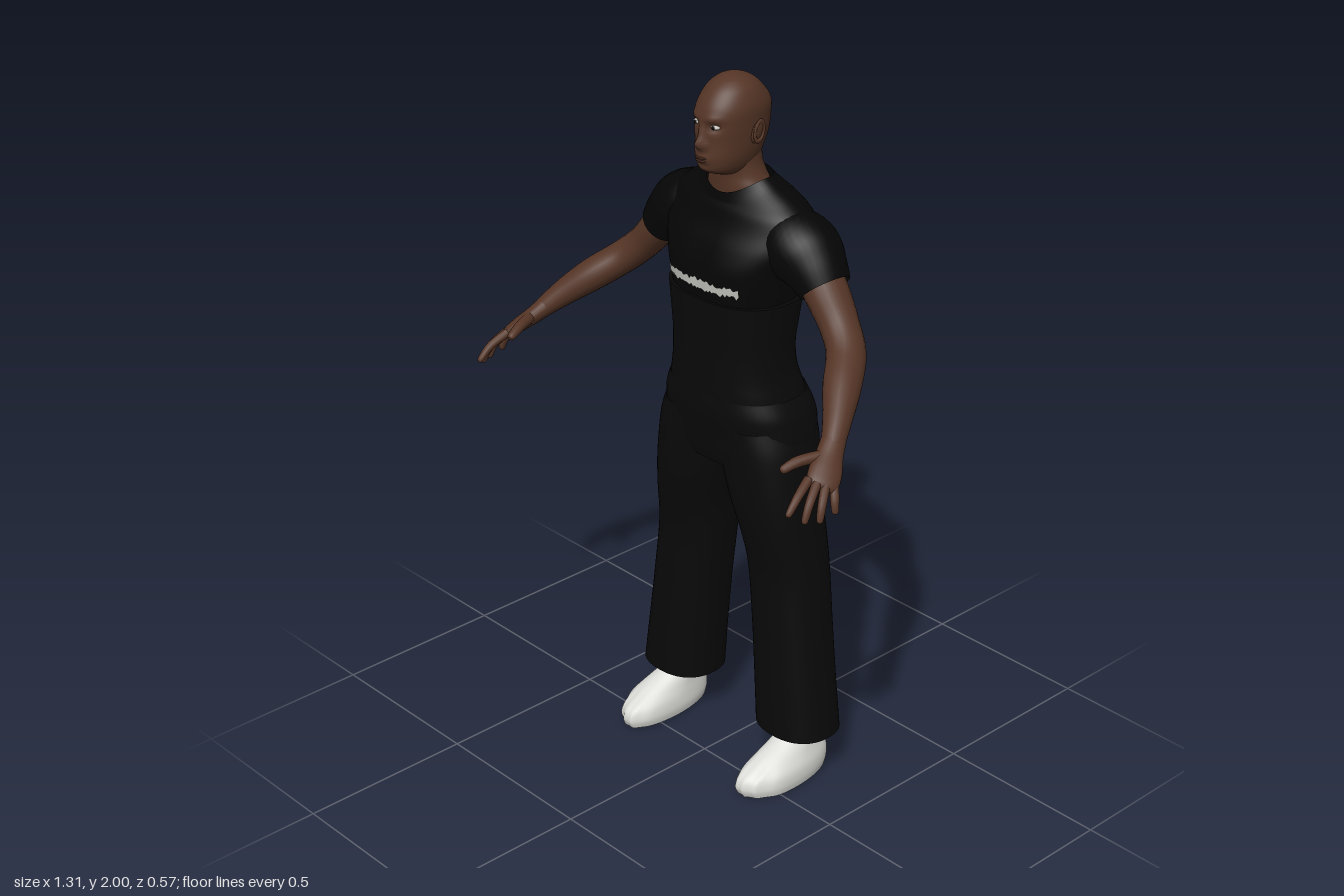
import * as THREE from 'three';

const mat = (name, color, side = THREE.FrontSide) => {
  const m = new THREE.MeshStandardMaterial({ color, side });
  m.name = name;
  return m;
};

// Smoothly interpolate rows of numbers
function smoothRows(keys, sub) {
  const out = [], last = keys.length - 1;
  const at = i => keys[Math.max(0, Math.min(last, i))];
  for (let s = 0; s <= last * sub; s++) {
    const i = Math.min(last - 1, Math.floor(s / sub)), t = s / sub - i;
    out.push(at(i).map((b, k) => {
      const a = at(i - 1)[k], c = at(i + 1)[k], d = at(i + 2)[k];
      return 0.5 * (2 * b + (c - a) * t + (2 * a - 5 * b + 4 * c - d) * t * t + (3 * b - a - 3 * c + d) * t ** 3);
    }));
  }
  return out;
}

// Join closed rings of points into one surface, with optional flat end caps
function skinRings(rings, capStart, capEnd) {
  const n = rings[0].length, pos = [], idx = [];
  rings.forEach(r => r.forEach(p => pos.push(p.x, p.y, p.z)));
  for (let r = 0; r < rings.length - 1; r++) for (let i = 0; i < n; i++) {
    const a = r * n + i, b = r * n + (i + 1) % n, d = a + n, c = b + n;
    idx.push(a, d, b, b, d, c);
  }
  const cap = (ring, flip) => {
    const base = pos.length / 3, mid = new THREE.Vector3();
    ring.forEach(p => { pos.push(p.x, p.y, p.z); mid.addScaledVector(p, 1 / n); });
    pos.push(mid.x, mid.y, mid.z);
    for (let i = 0; i < n; i++) {
      const a = base + i, b = base + (i + 1) % n;
      idx.push(...(flip ? [a, b, base + n] : [b, a, base + n]));
    }
  };
  if (capStart) cap(rings[0], true);
  if (capEnd) cap(rings[rings.length - 1], false);
  const g = new THREE.BufferGeometry();
  g.setAttribute('position', new THREE.Float32BufferAttribute(pos, 3));
  g.setIndex(idx);
  g.computeVertexNormals();
  return g;
}

// Stacked superellipses, bottom to top: [y, centreX, halfWidth, zBack, zFront, power]
function stack(keys, { sub = 6, seg = 48, bottom = false, top = false, shape } = {}) {
  return skinRings(smoothRows(keys, sub).map(([y, cx, rx, zb, zf, n]) =>
    Array.from({ length: seg }, (_, i) => {
      const a = i / seg * Math.PI * 2, c = Math.cos(a), s = Math.sin(a);
      const e = v => Math.sign(v) * Math.abs(v) ** (2 / n);
      const p = new THREE.Vector3(cx + rx * e(c), y, (zb + zf) / 2 + (zf - zb) / 2 * e(s));
      if (shape) shape(p, c, s);
      return p;
    })), bottom, top);
}

// Tapered limb along a path: [x, y, z, radiusAcross, radiusThick]
const ACROSS = new THREE.Vector3(-0.045, 0.015, 0.065).normalize();
function limb(keys, { sub = 5, seg = 20, ends = true } = {}) {
  const rows = smoothRows(keys, sub), P = rows.map(r => new THREE.Vector3(r[0], r[1], r[2]));
  return skinRings(rows.map((r, i) => {
    const t = P[Math.min(i + 1, P.length - 1)].clone().sub(P[Math.max(i - 1, 0)]).normalize();
    const u = ACROSS.clone().addScaledVector(t, -ACROSS.dot(t)).normalize();
    const v = u.clone().cross(t);
    return Array.from({ length: seg }, (_, k) => {
      const a = k / seg * Math.PI * 2;
      return P[i].clone().addScaledVector(u, r[3] * Math.cos(a)).addScaledVector(v, r[4] * Math.sin(a));
    });
  }), ends, ends);
}

function mirrored(geo) {
  const g = geo.clone().scale(-1, 1, 1), ix = g.index.array;
  for (let i = 0; i < ix.length; i += 3) [ix[i], ix[i + 1]] = [ix[i + 1], ix[i]];
  g.computeVertexNormals();
  return g;
}

const bump = (x, y, cx, cy, sx, sy) => Math.exp(-(((x - cx) / sx) ** 2) - ((y - cy) / sy) ** 2);

export function createModel() {
  const model = new THREE.Group();
  model.name = 'standingMan';
  const skin = mat('brownSkin', 0x553526), lipSkin = mat('darkLip', 0x402419);
  const shirtMat = mat('blackShirt', 0x050505, THREE.DoubleSide);
  const trouserMat = mat('blackTrousers', 0x090909, THREE.DoubleSide);
  const shoeMat = mat('paleShoe', 0xdcddd8), printMat = mat('palePrint', 0xc4c4be, THREE.DoubleSide);
  const eyeMat = mat('eyeWhite', 0xc8c4bc), irisMat = mat('darkIris', 0x120c08);
  const add = (name, geo, m) => {
    const mesh = new THREE.Mesh(geo, m);
    mesh.name = name;
    model.add(mesh);
    return mesh;
  };
  const pair = (name, geo, m) => {
    add('left' + name, geo, m);
    add('right' + name, mirrored(geo), m);
  };

  // Head with sculpted face
  add('head', stack([
    [1.745, 0, 0.044, -0.165, -0.03, 2], [1.762, 0, 0.057, -0.175, 0.004, 2.1],
    [1.795, 0, 0.069, -0.18, 0.011, 2.2], [1.84, 0, 0.076, -0.198, 0.009, 2.2],
    [1.885, 0, 0.079, -0.205, 0.011, 2.2], [1.925, 0, 0.079, -0.205, 0.005, 2.1],
    [1.963, 0, 0.066, -0.178, -0.02, 2], [1.985, 0, 0.046, -0.152, -0.047, 2],
    [1.996, 0, 0.025, -0.127, -0.073, 2], [2, 0, 0.004, -0.104, -0.096, 2],
  ], { seg: 96, bottom: true, top: true, shape: (p, c, s) => {
    if (s <= 0.1) return;
    const x = Math.abs(p.x), y = p.y;
    p.z += 0.022 * bump(x, y, 0, 1.836, 0.012, 0.016) + 0.011 * bump(x, y, 0, 1.86, 0.009, 0.026)
      + 0.006 * bump(x, y, 0.014, 1.83, 0.008, 0.01)
      - 0.011 * bump(x, y, 0.033, 1.882, 0.017, 0.012) + 0.005 * bump(x, y, 0.03, 1.903, 0.025, 0.01)
      + 0.008 * bump(x, y, 0, 1.796, 0.022, 0.014) - 0.005 * bump(x, y, 0, 1.778, 0.02, 0.006);
  } }), skin);
  add('neck', stack([
    [1.64, 0, 0.11, -0.2, -0.06, 2], [1.7, 0, 0.097, -0.195, -0.056, 2],
    [1.735, 0, 0.076, -0.187, -0.053, 2], [1.77, 0, 0.065, -0.18, -0.045, 2], [1.83, 0, 0.06, -0.18, -0.04, 2],
  ]), skin);
  const ball = (name, m, r, x, y, z, sx, sy, sz, rx = 0, rz = 0) => {
    const mesh = add(name, new THREE.SphereGeometry(r, 20, 14), m);
    mesh.position.set(x, y, z);
    mesh.scale.set(sx, sy, sz);
    mesh.rotation.set(rx, 0, rz);
  };
  ball('upperLip', lipSkin, 0.02, 0, 1.799, 0.0155, 1, 0.17, 0.25);
  ball('lowerLip', lipSkin, 0.018, 0, 1.790, 0.015, 1, 0.22, 0.25);
  for (const s of [-1, 1]) {
    ball('eye', eyeMat, 0.013, s * 0.033, 1.883, -0.008, 1, 0.5, 0.9);
    ball('iris', irisMat, 0.0052, s * 0.033, 1.883, 0.0022, 1, 1, 0.4);
    ball('ear', skin, 0.03, s * 0.079, 1.858, -0.108, 0.25, 1.05, 0.62, -0.2, -s * 0.15);
    const rim = add('earRim', new THREE.TorusGeometry(0.018, 0.005, 8, 24), skin);
    rim.position.set(s * 0.085, 1.861, -0.11);
    rim.rotation.set(-0.2, Math.PI / 2, 0);
    rim.scale.set(0.85, 1.45, 0.7);
  }

  // Shirt body with a collar that dips at the front
  const shirt = add('shirtBody', stack([
    [1.37, 0, 0.172, -0.24, 0.016, 2.4], [1.43, 0, 0.183, -0.252, 0.025, 2.4],
    [1.5, 0, 0.2, -0.266, 0.028, 2.4], [1.56, 0, 0.222, -0.267, 0.008, 2.4],
    [1.61, 0, 0.232, -0.26, -0.02, 2.3], [1.65, 0, 0.222, -0.25, -0.036, 2.2],
    [1.685, 0, 0.178, -0.234, -0.045, 2.1], [1.715, 0, 0.125, -0.21, -0.048, 2], [1.735, 0, 0.1, -0.195, -0.051, 2],
  ], { shape: (p, c, s) => {
    const chest = bump(p.x, p.y, 0, 1.5, 0.025, 0.09), spine = bump(p.x, p.y, 0, 1.52, 0.03, 0.14);
    p.z += s > 0 ? -0.006 * chest : 0.008 * spine;
    if (s > 0) p.y -= 0.045 * s * s * THREE.MathUtils.smoothstep(p.y, 1.64, 1.735);
  } }), shirtMat);
  pair('Sleeve', limb([
    [0.13, 1.585, -0.143, 0.085, 0.075], [0.19, 1.58, -0.143, 0.098, 0.09], [0.235, 1.556, -0.142, 0.097, 0.092],
    [0.272, 1.528, -0.138, 0.083, 0.077], [0.307, 1.492, -0.134, 0.07, 0.061],
  ], { ends: false, seg: 32 }), shirtMat);

  // Abstract jagged stripe laid on the chest
  const stripe = new THREE.PlaneGeometry(0.255, 0.03, 44, 1), sp = stripe.attributes.position;
  const ray = new THREE.Raycaster(), back = new THREE.Vector3(0, 0, -1);
  let seed = 7;
  const rand = () => (seed = (seed * 16807) % 2147483647) / 2147483647;
  for (let i = 0; i < sp.count; i++) {
    const x = sp.getX(i) + 0.002, y = 1.457 + Math.sign(sp.getY(i)) * (0.006 + 0.012 * rand());
    ray.set(new THREE.Vector3(x, y, 1), back);
    const hit = ray.intersectObject(shirt)[0];
    sp.setXYZ(i, x, y, (hit ? hit.point.z : 0.02) + 0.004);
  }
  stripe.computeVertexNormals();
  add('chestStripe', stripe, printMat);

  // Close-fitting waist, then hips
  add('waist', stack([
    [1.05, 0, 0.2, -0.262, 0.01, 2.4], [1.13, 0, 0.197, -0.263, 0.02, 2.4], [1.2, 0, 0.182, -0.242, 0.021, 2.4],
    [1.27, 0, 0.178, -0.234, 0.022, 2.4], [1.34, 0, 0.184, -0.243, 0.026, 2.4], [1.415, 0, 0.192, -0.254, 0.03, 2.4],
  ], { top: true }), trouserMat);
  add('hips', stack([
    [0.93, 0, 0.215, -0.235, -0.012, 2.5], [0.97, 0, 0.238, -0.252, 0, 2.5], [1.02, 0, 0.235, -0.277, 0.008, 2.4],
    [1.065, 0, 0.228, -0.287, 0.018, 2.4], [1.1, 0, 0.219, -0.28, 0.022, 2.4], [1.14, 0, 0.199, -0.266, 0.021, 2.4],
  ], { bottom: true, shape: (p, c, s) => {
    if (s < 0) p.z += 0.014 * bump(p.x, p.y, 0, 1.03, 0.03, 0.09);
  } }), trouserMat);

  // Wide trouser legs, open at the hem
  pair('TrouserLeg', stack([
    [0.145, 0.232, 0.119, -0.243, -0.035, 2.3], [0.3, 0.216, 0.114, -0.243, -0.039, 2.3],
    [0.46, 0.199, 0.111, -0.245, -0.043, 2.3], [0.62, 0.181, 0.112, -0.247, -0.045, 2.3],
    [0.73, 0.168, 0.112, -0.247, -0.026, 2.3], [0.83, 0.147, 0.12, -0.247, -0.009, 2.3],
    [0.92, 0.128, 0.126, -0.248, -0.001, 2.3], [1.0, 0.119, 0.122, -0.262, 0.004, 2.2],
    [1.06, 0.108, 0.11, -0.265, 0.005, 2.2],
  ]), trouserMat);

  // Lower legs and shoes with shallow toe ridges
  pair('LowerLeg', stack([
    [0.09, 0.238, 0.037, -0.19, -0.09, 2], [0.15, 0.236, 0.035, -0.183, -0.1, 2],
    [0.28, 0.228, 0.045, -0.195, -0.095, 2], [0.4, 0.22, 0.052, -0.2, -0.09, 2],
  ], { seg: 24, top: true }), skin);
  pair('Shoe', stack([
    [0, 0.247, 0.065, -0.218, 0.088, 2.5], [0.025, 0.247, 0.069, -0.225, 0.096, 2.5],
    [0.055, 0.247, 0.066, -0.226, 0.082, 2.4], [0.085, 0.244, 0.056, -0.22, 0.025, 2.2],
    [0.115, 0.24, 0.046, -0.206, -0.04, 2], [0.14, 0.238, 0.037, -0.188, -0.09, 2],
  ], { seg: 72, bottom: true, top: true, shape: (p, c, s) => {
    const dx = p.x - 0.247, toe = THREE.MathUtils.smoothstep(p.z, -0.03, 0.08);
    p.z -= toe * (0.32 * Math.max(0, dx + 0.02) + 0.006 * Math.abs(Math.sin(dx * 105)));
    p.x = 0.247 + dx * (s < 0 ? 1 + 0.2 * s : 1);
  } }), shoeMat);

  // Arms, palms, fingers and thumbs
  pair('Arm', limb([
    [0.25, 1.55, -0.14, 0.06, 0.055], [0.31, 1.485, -0.133, 0.06, 0.052], [0.37, 1.415, -0.122, 0.053, 0.047],
    [0.425, 1.362, -0.092, 0.052, 0.046], [0.478, 1.312, -0.025, 0.05, 0.045],
    [0.527, 1.26, 0.04, 0.038, 0.036], [0.562, 1.215, 0.092, 0.03, 0.026],
  ]), skin);
  pair('Palm', limb([
    [0.553, 1.227, 0.078, 0.032, 0.028], [0.572, 1.2, 0.112, 0.036, 0.024],
    [0.592, 1.176, 0.145, 0.043, 0.021], [0.607, 1.157, 0.172, 0.041, 0.016], [0.612, 1.149, 0.182, 0.03, 0.008],
  ]), skin);
  const fingers = {
    IndexFinger: [[0.583, 1.17, 0.195], [0.596, 1.142, 0.245], [0.601, 1.104, 0.285]],
    MiddleFinger: [[0.602, 1.162, 0.185], [0.62, 1.127, 0.228], [0.627, 1.083, 0.253]],
    RingFinger: [[0.615, 1.155, 0.167], [0.636, 1.12, 0.2], [0.645, 1.079, 0.217]],
    LittleFinger: [[0.62, 1.152, 0.143], [0.64, 1.122, 0.16], [0.65, 1.088, 0.167]],
    Thumb: [[0.562, 1.203, 0.13], [0.54, 1.2, 0.185], [0.525, 1.184, 0.235]],
  };
  for (const [name, [a, b, c]] of Object.entries(fingers)) {
    const r = name === 'Thumb' ? 0.016 : 0.0125;
    const near = b.map((v, i) => v + (c[i] - v) * 0.82);
    pair(name, limb([[...a, r, r], [...b, r * 0.92, r * 0.92], [...near, r * 0.72, r * 0.72], [...c, r * 0.3, r * 0.3]],
      { seg: 12, sub: 4 }), skin);
  }
  return model;
}
